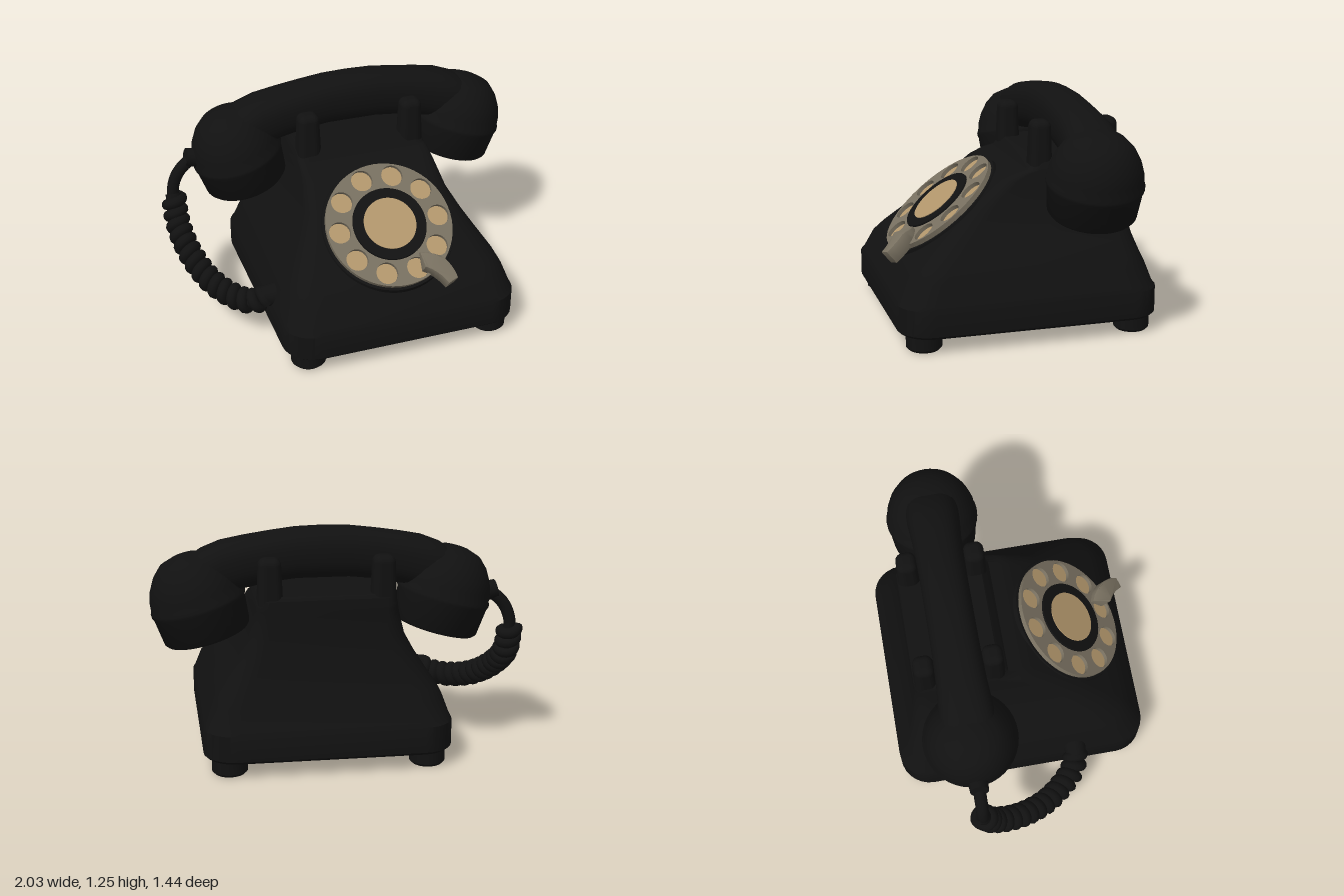
import * as THREE from 'three';
import { toCreasedNormals } from 'three/addons/utils/BufferGeometryUtils.js';
import { RoundedBoxGeometry } from 'three/addons/geometries/RoundedBoxGeometry.js';

const material = (name, color) => {
  const m = new THREE.MeshStandardMaterial({ color });
  m.name = name;
  return m;
};

// Skin a list of cross-sections (arrays of Vector3) and cap both ends
function loft(rings, crease) {
  const n = rings[0].length, pos = [], idx = [];
  rings.forEach(r => r.forEach(p => pos.push(p.x, p.y, p.z)));
  for (let i = 0; i < rings.length - 1; i++) {
    for (let j = 0; j < n; j++) {
      const a = i * n + j, b = i * n + (j + 1) % n;
      idx.push(a, b, b + n, a, b + n, a + n);
    }
  }
  [0, rings.length - 1].forEach((i, end) => {
    const c = rings[i].reduce((s, p) => s.add(p), new THREE.Vector3()).divideScalar(n);
    const ci = pos.length / 3;
    pos.push(c.x, c.y, c.z);
    for (let j = 0; j < n; j++) {
      const a = i * n + j, b = i * n + (j + 1) % n;
      if (end) idx.push(ci, a, b); else idx.push(ci, b, a);
    }
  });
  const g = new THREE.BufferGeometry();
  g.setAttribute('position', new THREE.Float32BufferAttribute(pos, 3));
  g.setIndex(idx);
  return toCreasedNormals(g, crease);
}

// Horizontal rounded rectangle
function roundedRing(y, hw, zf, zb, r, cx) {
  const pts = [], steps = 7, zc = (zf + zb) / 2, hd = (zf - zb) / 2;
  [[1, -1], [-1, -1], [-1, 1], [1, 1]].forEach(([sx, sz], q) => {
    for (let k = 0; k <= steps; k++) {
      const t = (q + k / steps) * Math.PI / 2;
      pts.push(new THREE.Vector3(cx + sx * (hw - r) + r * Math.cos(t), y,
        zc + sz * (hd - r) - r * Math.sin(t)));
    }
  });
  return pts;
}

const curve = pts => new THREE.CatmullRomCurve3(pts.map(p => new THREE.Vector3(...p)));

export function createModel() {
  const model = new THREE.Group();
  const black = material('black', 0x111111);
  const bronze = material('bronze', 0x787060);
  const beige = material('beige', 0xb2966c);
  const CX = 0.115, HZ = -0.305;

  function add(name, geometry, mat, parent = model, x = 0, y = 0, z = 0) {
    const mesh = new THREE.Mesh(geometry, mat);
    mesh.name = name;
    mesh.position.set(x, y, z);
    parent.add(mesh);
    return mesh;
  }

  // Body: y, half width, front z, back z, corner radius
  const levels = [
    [0.085, 0.65, 0.695, -0.695, 0.16], [0.1, 0.665, 0.71, -0.71, 0.17],
    [0.24, 0.665, 0.71, -0.71, 0.17], [0.26, 0.655, 0.695, -0.695, 0.17],
    [0.36, 0.62, 0.645, -0.66, 0.16], [0.42, 0.59, 0.585, -0.635, 0.15],
    [0.5, 0.535, 0.495, -0.61, 0.14], [0.6, 0.47, 0.375, -0.588, 0.12],
    [0.7, 0.415, 0.255, -0.57, 0.1], [0.82, 0.385, 0.105, -0.56, 0.08],
    [0.855, 0.378, 0.03, -0.56, 0.07], [0.87, 0.375, -0.04, -0.558, 0.06],
    [0.91, 0.368, -0.07, -0.555, 0.06], [0.93, 0.35, -0.09, -0.535, 0.05],
  ];
  add('body', loft(levels.map(l => roundedRing(...l, CX)), 0.7), black);

  // Feet and cradle prongs
  const footProfile = [[0, 0], [0.08, 0], [0.095, 0.015], [0.095, 0.1], [0, 0.1]]
    .map(p => new THREE.Vector2(...p));
  const foot = toCreasedNormals(new THREE.LatheGeometry(footProfile, 28), 0.6);
  const prong = new RoundedBoxGeometry(0.12, 0.36, 0.11, 4, 0.04);
  const pp = prong.attributes.position;
  for (let i = 0; i < pp.count; i++) {
    const k = 1 + 0.22 * Math.max(0, 0.1 - pp.getY(i)) / 0.28;
    pp.setX(i, pp.getX(i) * k);
    pp.setZ(i, pp.getZ(i) * k);
  }
  prong.computeVertexNormals();
  for (const sx of [-1, 1]) {
    for (const sz of [-1, 1]) {
      add('foot', foot, black, model, CX + sx * 0.53, 0, sz * 0.575);
      add('cradleProng', prong, black, model, CX + sx * 0.3, 0.95, HZ + sz * 0.185);
    }
  }

  // Handset grip: x offset, centre y, half height, half depth
  const handset = new THREE.Group();
  handset.name = 'handset';
  model.add(handset);
  const half = [[0, 1.118, 0.137, 0.128], [0.14, 1.116, 0.135, 0.128], [0.28, 1.1, 0.134, 0.13],
    [0.42, 1.075, 0.138, 0.135], [0.54, 1.045, 0.145, 0.145], [0.64, 1.01, 0.14, 0.15],
    [0.73, 0.97, 0.12, 0.13], [0.78, 0.94, 0.08, 0.09]];
  const stations = [...half.slice(1).reverse().map(([s, ...r]) => [-s, ...r]), ...half];
  const round = v => Math.sign(v) * Math.abs(v) ** 0.8;
  add('grip', loft(stations.map(([s, y, hy, hz]) =>
    Array.from({ length: 28 }, (_, j) => {
      const t = j / 28 * Math.PI * 2;
      return new THREE.Vector3(CX + s, y + hy * round(Math.cos(t)), HZ + hz * round(Math.sin(t)));
    })), 0.8), black, handset);

  // Ear and mouth cups, tilted toward each other
  const cupProfile = [[0, 0.02], [0.17, 0.02], [0.2, 0], [0.222, 0], [0.235, 0.015], [0.25, 0.16],
    [0.257, 0.175], [0.257, 0.19], [0.25, 0.205], [0.245, 0.25], [0.225, 0.31], [0.19, 0.37],
    [0.14, 0.42], [0.07, 0.445], [0, 0.45]].map(p => new THREE.Vector2(...p));
  const cup = toCreasedNormals(new THREE.LatheGeometry(cupProfile, 40), 0.7);
  for (const s of [-1, 1]) {
    add(s < 0 ? 'mouthCup' : 'earCup', cup, black, handset, CX + s * 0.615, 0.688, HZ)
      .rotation.z = -s * 0.265;
  }

  // Dial, with local z as its outward axis
  const dial = new THREE.Group();
  dial.name = 'dial';
  dial.position.set(0.12, 0.645, 0.37);
  dial.rotation.x = -0.89;
  model.add(dial);
  const disc = (name, r0, r1, z0, z1, mat) => {
    const g = new THREE.CylinderGeometry(r1, r0, z1 - z0, 56).rotateX(Math.PI / 2);
    return add(name, g, mat, dial, 0, 0, (z0 + z1) / 2);
  };
  disc('dialBase', 0.385, 0.37, -0.08, -0.022, black);
  disc('numberPlate', 0.345, 0.345, -0.025, -0.017, beige);
  disc('dialCenter', 0.215, 0.205, -0.02, 0.014, black);
  disc('centerLabel', 0.147, 0.147, 0.012, 0.018, beige);

  const wheel = new THREE.Shape().absarc(0, 0, 0.355, 0, Math.PI * 2);
  wheel.holes.push(new THREE.Path().absarc(0, 0, 0.2, 0, Math.PI * 2, true));
  for (let i = 0; i < 10; i++) {
    const a = (i + 0.5) * Math.PI / 5;
    wheel.holes.push(new THREE.Path().absarc(
      0.284 * Math.sin(a), 0.284 * Math.cos(a), 0.06, 0, Math.PI * 2, true));
  }
  add('fingerWheel', new THREE.ExtrudeGeometry(wheel,
    { depth: 0.028, bevelEnabled: false, curveSegments: 28 }), bronze, dial, 0, 0, -0.023);

  // Hooked finger stop
  const stop = new THREE.Shape();
  stop.moveTo(0.12, -0.2);
  stop.quadraticCurveTo(0.25, -0.24, 0.265, -0.38);
  stop.lineTo(0.215, -0.4);
  stop.quadraticCurveTo(0.18, -0.33, 0.115, -0.29);
  stop.closePath();
  const stopGeo = new THREE.ExtrudeGeometry(stop, { depth: 0.075, curveSegments: 8,
    bevelSize: 0.005, bevelThickness: 0.005, bevelSegments: 2 });
  const sp = stopGeo.attributes.position;
  for (let i = 0; i < sp.count; i++) {
    // the inner end thins out over the wheel
    const k = THREE.MathUtils.clamp((-sp.getY(i) - 0.17) / 0.08, 0.3, 1);
    sp.setZ(i, sp.getZ(i) * k + (1 - k) * 0.02);
  }
  add('fingerStop', toCreasedNormals(stopGeo, 0.5), bronze, dial, 0, 0, -0.01);

  // Cord: plain lead, coiled length and both plugs
  add('cordLead', new THREE.TubeGeometry(curve([[-0.74, 0.87, HZ], [-0.82, 0.855, HZ],
    [-0.89, 0.79, HZ], [-0.925, 0.7, HZ], [-0.925, 0.62, -0.3]]), 24, 0.034, 12), black);
  add('handsetPlug', new THREE.CylinderGeometry(0.05, 0.06, 0.14, 20), black, model,
    -0.775, 0.865, HZ).rotation.z = 1.35;
  add('bodyPlug', new THREE.CylinderGeometry(0.055, 0.065, 0.08, 20), black, model,
    -0.555, 0.275, 0.29).rotation.z = Math.PI / 2;

  const path = curve([[-0.925, 0.66, -0.31], [-0.925, 0.52, -0.25], [-0.9, 0.4, -0.11],
    [-0.83, 0.295, 0.05], [-0.74, 0.245, 0.17], [-0.64, 0.235, 0.26], [-0.56, 0.265, 0.29]]);
  add('cordCore', new THREE.TubeGeometry(path, 40, 0.045, 12), black);
  const turns = 15, steps = turns * 12, frames = path.computeFrenetFrames(steps);
  const helix = Array.from({ length: steps + 1 }, (_, i) => {
    const a = i / 12 * Math.PI * 2;
    return path.getPointAt(i / steps)
      .addScaledVector(frames.normals[i], 0.043 * Math.cos(a))
      .addScaledVector(frames.binormals[i], 0.043 * Math.sin(a)).toArray();
  });
  add('cordCoil', new THREE.TubeGeometry(curve(helix), turns * 18, 0.031, 10), black);

  return model;
}
